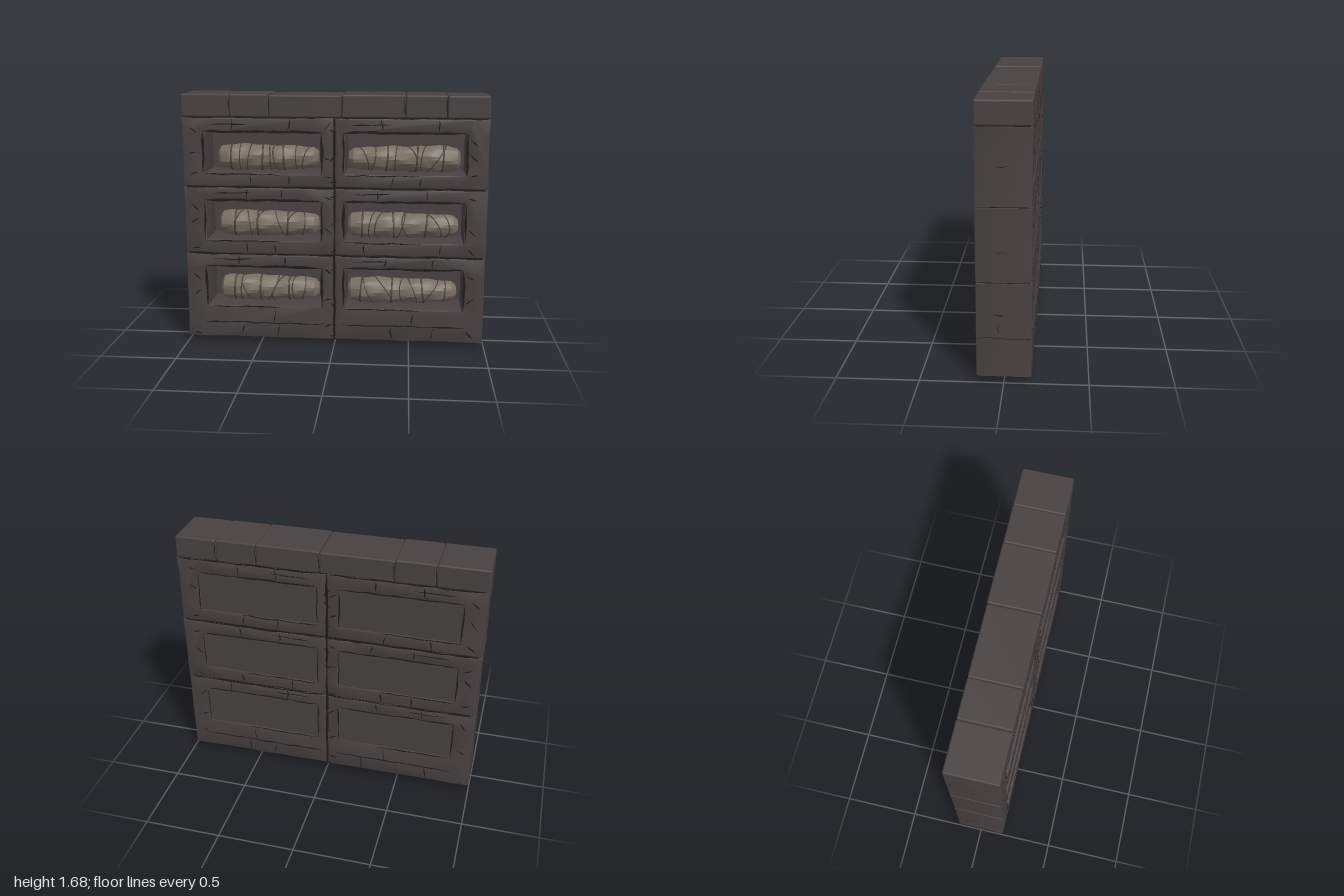
import * as THREE from 'three';
import { mergeGeometries, toCreasedNormals } from 'three/addons/utils/BufferGeometryUtils.js';
import { RoundedBoxGeometry } from 'three/addons/geometries/RoundedBoxGeometry.js';

const HALF_DEPTH = 0.163;
const ROWS = [ // wall course bottom/top and niche bottom/top
  { y0: 0.003, y1: 0.585, n0: 0.225, n1: 0.5 },
  { y0: 0.589, y1: 1.038, n0: 0.68, n1: 0.95 },
  { y0: 1.042, y1: 1.496, n0: 1.13, n1: 1.4 },
];
const COLUMNS = [
  { x0: -0.997, x1: -0.003, n0: -0.855, n1: -0.085, b0: -0.79, b1: -0.11 },
  { x0: 0.003, x1: 0.993, n0: 0.065, n1: 0.85, b0: 0.08, b1: 0.82 },
];

export function createModel() {
  const model = new THREE.Group();
  const paint = (name, color) => {
    const m = new THREE.MeshStandardMaterial({ color });
    m.name = name;
    return m;
  };
  const stone = paint('dark stone', 0x484141);
  const crackMat = paint('crack black', 0x1d1a1a);
  const cloth = paint('linen cloth', 0x746c60);
  const strap = paint('linen binding', 0x4a443b);

  let seed = 7;
  const rnd = () => (seed = (seed * 16807) % 2147483647) / 2147483647;
  const spread = (a) => (rnd() * 2 - 1) * a;

  const add = (name, geometry, material, parent = model) => {
    const mesh = new THREE.Mesh(geometry, material);
    mesh.name = name;
    parent.add(mesh);
    return mesh;
  };
  const box = (name, x0, x1, y0, y1, z0, z1, material) =>
    add(name, new THREE.BoxGeometry(x1 - x0, y1 - y0, z1 - z0), material)
      .position.set((x0 + x1) / 2, (y0 + y1) / 2, (z0 + z1) / 2);

  // Rectangle whose edges wander slightly inward, like chipped stone
  function roughRect(x0, x1, y0, y1, rough) {
    const corners = [[x0, y0], [x1, y0], [x1, y1], [x0, y1]];
    const cx = (x0 + x1) / 2, cy = (y0 + y1) / 2, points = [];
    corners.forEach(([ax, ay], i) => {
      const [bx, by] = corners[(i + 1) % 4];
      const n = Math.max(2, Math.round(Math.hypot(bx - ax, by - ay) / 0.11));
      for (let k = 0; k < n; k++) {
        const x = ax + (bx - ax) * k / n, y = ay + (by - ay) * k / n;
        points.push(new THREE.Vector2(x - Math.sign(x - cx) * rnd() * rough, y - Math.sign(y - cy) * rnd() * rough));
      }
    });
    return points;
  }

  // Tapered jagged sliver in the xy plane
  function sliver(x0, y0, x1, y1, width = 0.009) {
    const len = Math.hypot(x1 - x0, y1 - y0);
    const nx = -(y1 - y0) / len, ny = (x1 - x0) / len;
    const n = Math.max(3, Math.round(len / 0.06)), up = [], down = [];
    for (let i = 0; i <= n; i++) {
      const t = i / n, w = i === 0 || i === n ? 0.0008 : width * (0.25 + 0.4 * rnd()), o = spread(0.004);
      const x = x0 + (x1 - x0) * t, y = y0 + (y1 - y0) * t;
      up.push(new THREE.Vector2(x + nx * (o + w), y + ny * (o + w)));
      down.unshift(new THREE.Vector2(x + nx * (o - w), y + ny * (o - w)));
    }
    return new THREE.ShapeGeometry(new THREE.Shape([...up, ...down]));
  }

  // Wall blocks, each pierced by a niche and closed by a back slab
  const bevel = 0.008;
  for (const c of COLUMNS) for (const r of ROWS) {
    const shape = new THREE.Shape(roughRect(c.x0, c.x1, r.y0, r.y1, 0.007));
    shape.holes.push(new THREE.Path(roughRect(c.n0, c.n1, r.n0, r.n1, 0.007).reverse()));
    const block = new THREE.ExtrudeGeometry(shape, {
      depth: 2 * (HALF_DEPTH - bevel), bevelEnabled: true, bevelSize: bevel,
      bevelThickness: bevel, bevelOffset: -bevel, bevelSegments: 2,
    });
    block.translate(0, 0, bevel - HALF_DEPTH);
    add('wallBlock', toCreasedNormals(block, 0.6), stone);
    box('nicheBack', c.n0 - 0.02, c.n1 + 0.02, r.n0 - 0.02, r.n1 + 0.02, -0.157, -0.1, stone);
  }

  // Mortar behind the open joints
  box('centreMortar', -0.02, 0.02, 0.02, 1.5, -0.15, 0.15, crackMat);
  for (const y of [0.587, 1.04, 1.5]) box('courseMortar', -0.975, 0.975, y - 0.015, y + 0.015, -0.15, 0.15, crackMat);

  // Capping stones
  const capJoints = [-0.997, -0.68, -0.425, 0.045, 0.455, 0.72, 0.99];
  for (let i = 0; i < 6; i++) {
    const w = capJoints[i + 1] - capJoints[i] - 0.002, h = 0.146 + spread(0.003);
    const cap = add('capStone', new RoundedBoxGeometry(w, h, 0.328 + spread(0.003), 2, 0.011), stone);
    cap.position.set(capJoints[i] + w / 2 + 0.001, 1.497 + h / 2, 0);
  }

  // Brick joints and chips for one face of the wall
  function faceCracks(front) {
    const list = [];
    const line = (...a) => list.push(sliver(...a));
    for (const y of [0.587, 1.04, 1.497]) {
      line(-0.98, y, -0.02, y, 0.009);
      line(0.02, y, 0.98, y, 0.009);
    }
    line(0, 0.02, 0, 1.48, 0.008);
    for (const x of capJoints.slice(1, -1)) line(x, 1.505, x + spread(0.01), 1.63, 0.008);
    for (const c of COLUMNS) ROWS.forEach((r, row) => {
      // Niche rim or back panel outline
      const rim = front ? 0.016 : 0.008;
      line(c.n0 - 0.004, r.n0, c.n0 - 0.004, r.n1, rim);
      line(c.n1 + 0.004, r.n0, c.n1 + 0.004, r.n1, rim);
      line(c.n0, r.n1 + 0.004, c.n1, r.n1 + 0.004, rim);
      line(c.n0, r.n0 - 0.004, c.n0 + 0.5, r.n0 - 0.004, 0.007);
      // Bricks above and below the niche
      for (const f of [0.3, 0.72]) {
        const xa = c.n0 + 0.78 * f + spread(0.06), xb = c.n0 + 0.78 * f + spread(0.1);
        line(xa, r.n1 + 0.015, xa + spread(0.015), r.y1 - 0.008, 0.008);
        line(xb, r.y0 + 0.01, xb + spread(0.015), row ? r.n0 - 0.01 : 0.1, 0.008);
      }
      line(c.n0 + 0.05, r.n1 + 0.05, c.n0 + 0.3, r.n1 + 0.055, 0.007);
      if (row === 0) {
        line(c.n0 - 0.02, 0.11, c.n1 + 0.02, 0.112, 0.008);
        line(c.n0 + 0.45, 0.115, c.n0 + 0.46, 0.2, 0.007);
      }
      // Chips on the jambs and corners
      for (const x of [c.n0 - 0.07, c.n1 + 0.045]) for (let k = 0; k < 3; k++) {
        const y = r.y0 + (r.y1 - r.y0) * (0.1 + 0.35 * k) + spread(0.04);
        line(x - 0.025, y, x + 0.025, y + spread(0.06), 0.009);
      }
    });
    return mergeGeometries(list);
  }
  add('frontCracks', faceCracks(true), crackMat).position.z = HALF_DEPTH + 0.002;
  const back = faceCracks(false);
  back.scale(-1, 1, 1).rotateY(Math.PI); // keeps the brick layout aligned with the blocks
  const index = back.index.array;
  for (let i = 0; i < index.length; i += 3) [index[i], index[i + 1]] = [index[i + 1], index[i]];
  back.computeVertexNormals();
  add('backCracks', back, crackMat).position.z = -HALF_DEPTH - 0.002;

  // Cracks on both ends
  for (const s of [-1, 1]) {
    const ends = mergeGeometries([
      sliver(-0.155, 0.25, 0.155, 0.25, 0.005), sliver(-0.06, 0.4, 0, 0.39, 0.005), sliver(-0.03, 0.28, -0.03, 0.34, 0.004),
      sliver(-0.05, 0.78, 0.02, 0.77, 0.004), sliver(-0.04, 1.27, 0.03, 1.275, 0.006),
    ]);
    const mesh = add('endCracks', ends, crackMat);
    mesh.rotation.y = s * Math.PI / 2;
    mesh.position.x = s > 0 ? 0.9945 : -0.9985;
  }

  // Wrapped bundles: a creased lathe body with bindings that follow its surface
  const profile = [[0, 0], [0.005, 0.045], [0.03, 0.073], [0.1, 0.085], [0.25, 0.087], [0.45, 0.082], [0.65, 0.08], [0.85, 0.074], [0.95, 0.068], [0.99, 0.045], [1, 0]];
  const radiusAt = (t) => {
    const i = Math.max(1, profile.findIndex((p) => p[0] >= t));
    const [a, b] = [profile[i - 1], profile[i]];
    return a[1] + (b[1] - a[1]) * (t - a[0]) / (b[0] - a[0]);
  };
  function makeBundle(length, phase) {
    const group = new THREE.Group();
    group.name = 'wrappedBundle';
    const ts = [0, 0.005, 0.03];
    for (let i = 1; i <= 22; i++) ts.push(0.03 + 0.92 * i / 22);
    ts.push(0.99, 1);
    const body = new THREE.LatheGeometry(ts.map((t) => new THREE.Vector2(radiusAt(t), t * length)), 22);
    body.rotateZ(-Math.PI / 2).translate(-length / 2, 0, 0);
    const p = body.attributes.position;
    for (let i = 0; i < p.count; i++) {
      const x = p.getX(i), a = Math.atan2(p.getZ(i), p.getY(i));
      const k = 1 + 0.035 * Math.sin(x * 38 + 3 * Math.sin(a) + phase) + 0.03 * Math.sin(Math.cos(a) * 7 - x * 21 + phase * 2);
      p.setY(i, p.getY(i) * k);
      p.setZ(i, p.getZ(i) * k);
    }
    add('cloth', toCreasedNormals(body, 0.3), cloth, group);

    // Upright and slanting bindings
    for (let j = 0; j < 9; j++) {
      const t0 = 0.1 + 0.8 * (j + 0.5 + spread(0.35)) / 9;
      const tilt = j % 3 === 0 ? spread(0.015) : spread(0.09), turn = rnd() * 6.28;
      const points = [];
      for (let k = 0; k < 20; k++) {
        const a = k / 20 * Math.PI * 2;
        const t = THREE.MathUtils.clamp(t0 + tilt * Math.sin(a + turn), 0.04, 0.95);
        const r = radiusAt(t) * 1.035;
        points.push(new THREE.Vector3((t - 0.5) * length, r * Math.cos(a), r * Math.sin(a)));
      }
      const path = new THREE.CatmullRomCurve3(points, true);
      add('binding', new THREE.TubeGeometry(path, 36, j % 3 === 0 ? 0.006 : 0.004, 5, true), strap, group);
    }
    return group;
  }
  COLUMNS.forEach((c, ci) => ROWS.forEach((r, ri) => {
    const bundle = makeBundle(c.b1 - c.b0, ci * 2.3 + ri * 1.1);
    bundle.position.set((c.b0 + c.b1) / 2, r.n0 + 0.088, -0.008);
    if (ci === 1 && ri === 2) bundle.rotation.y = Math.PI;
    model.add(bundle);
  }));

  return model;
}
